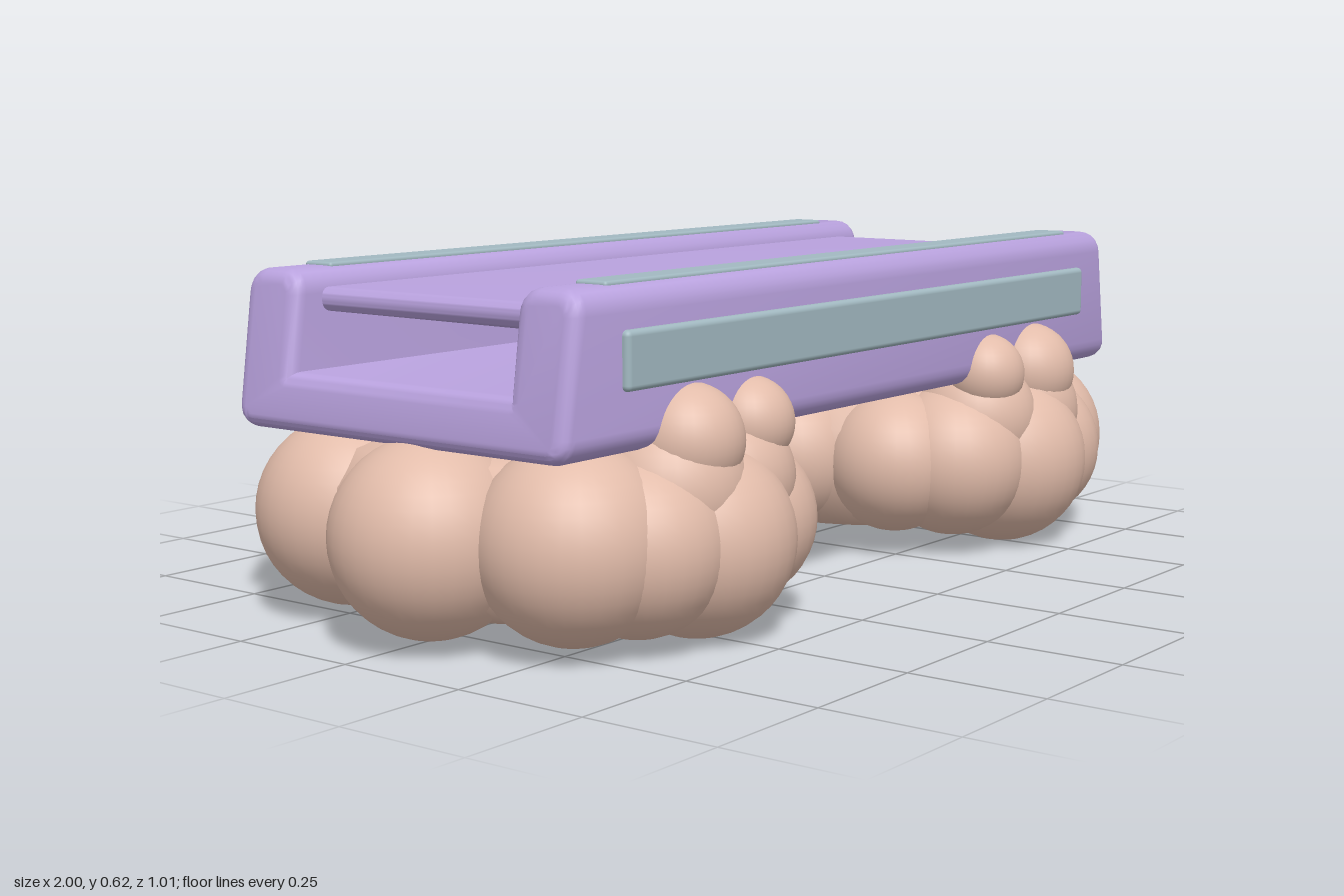
import * as THREE from 'three';
import { RoundedBoxGeometry } from 'three/addons/geometries/RoundedBoxGeometry.js';
import { toCreasedNormals } from 'three/addons/utils/BufferGeometryUtils.js';

// Closed shape whose corners are rounded by r
function roundedShape(points, r) {
  const corners = points.map(([x, y]) => new THREE.Vector2(x, y));
  const toward = (a, b) => b.clone().sub(a).setLength(r).add(a);
  const shape = new THREE.Shape();
  corners.forEach((corner, i) => {
    const before = toward(corner, corners.at(i - 1));
    const after = toward(corner, corners[(i + 1) % corners.length]);
    if (i === 0) shape.moveTo(before.x, before.y);
    else shape.lineTo(before.x, before.y);
    shape.quadraticCurveTo(corner.x, corner.y, after.x, after.y);
  });
  return shape;
}

export function createModel() {
  const purple = new THREE.MeshStandardMaterial({ name: 'purple', color: 0xb9a2de });
  const teal = new THREE.MeshStandardMaterial({ name: 'greyTeal', color: 0xa2b9c1 });
  const tan = new THREE.MeshStandardMaterial({ name: 'tan', color: 0xe2bcaa });

  const model = new THREE.Group();
  model.name = 'cloudCart';

  const add = (name, geometry, material, x = 0, y = 0, z = 0, parent = model) => {
    const mesh = new THREE.Mesh(geometry, material);
    mesh.name = name;
    mesh.position.set(x, y, z);
    parent.add(mesh);
    return mesh;
  };

  // Channel body: floor and two side rails in one U section, bevelled at the ends
  const half = [[0.35, 0.365], [0.35, 0.587], [0.272, 0.587], [0.272, 0.415]];
  const section = half.concat(half.map(([z, y]) => [-z, y]).reverse());
  const body = new THREE.ExtrudeGeometry(roundedShape(section, 0.018), {
    depth: 1.73, bevelThickness: 0.025, bevelSize: 0.025, bevelSegments: 5, curveSegments: 5,
  });
  body.translate(0, 0, -0.865);
  body.rotateY(Math.PI / 2);
  // Ends lean inward towards the top
  const p = body.attributes.position;
  for (let i = 0; i < p.count; i++) {
    const t = Math.max(0, (p.getY(i) - 0.36) / 0.25);
    p.setX(i, p.getX(i) * (1 - 0.04 * t));
  }
  add('channelBody', toCreasedNormals(body, 0.6), purple);

  // Inlaid strips on the top and outer faces of the rails
  for (const s of [1, -1]) {
    add('topStrip', new RoundedBoxGeometry(1.5, 0.03, 0.065, 2, 0.006), teal, 0, 0.603, s * 0.31);
    add('sideStrip', new RoundedBoxGeometry(1.5, 0.098, 0.03, 3, 0.01), teal, 0, 0.494, s * 0.373);
  }

  // Deck: flat on top, bellied underneath
  const deck = new THREE.Shape();
  deck.moveTo(-0.78, 0.58);
  deck.quadraticCurveTo(-0.8, 0.58, -0.8, 0.56);
  deck.quadraticCurveTo(-0.8, 0.54, -0.78, 0.538);
  deck.lineTo(-0.3, 0.465);
  deck.quadraticCurveTo(0, 0.447, 0.3, 0.465);
  deck.lineTo(0.78, 0.538);
  deck.quadraticCurveTo(0.8, 0.54, 0.8, 0.56);
  deck.quadraticCurveTo(0.8, 0.58, 0.78, 0.58);
  const deckGeometry = new THREE.ExtrudeGeometry(deck, { depth: 0.52, bevelEnabled: false, curveSegments: 10 });
  deckGeometry.translate(0, 0, -0.26);
  add('deck', toCreasedNormals(deckGeometry, 0.6), purple);

  // Cloud puffs as [x, y, z, radius]; paired ones repeat across z
  const singles = [[0.828, 0.185, 0.03, 0.172], [0.215, 0.185, 0.02, 0.145]];
  const pairs = [
    [0.73, 0.185, 0.255, 0.17], [0.51, 0.17, 0.337, 0.17],
    [0.64, 0.175, 0.315, 0.155], [0.37, 0.18, 0.305, 0.15],
    [0.29, 0.18, 0.22, 0.14],
    [0.565, 0.345, 0.36, 0.097], [0.395, 0.355, 0.36, 0.08],
    [0.57, 0.26, 0.325, 0.135], [0.42, 0.26, 0.325, 0.125],
  ];
  const puffs = singles.concat(pairs, pairs.map(([x, y, z, r]) => [x, y, -z, r]));

  // Flat-bottomed rounded core that joins the puffs
  const coreProfile = [[0, 0.045], [0.8, 0.045], [0.97, 0.08], [1.04, 0.17], [1, 0.25], [0.88, 0.31], [0.7, 0.33], [0, 0.33]];
  const coreGeometry = new THREE.LatheGeometry(coreProfile.map(([r, y]) => new THREE.Vector2(r, y)), 40);

  for (const s of [1, -1]) {
    const cloud = new THREE.Group();
    cloud.name = s > 0 ? 'leftCloud' : 'rightCloud';
    model.add(cloud);
    for (const [x, y, z, r] of puffs) {
      add('cloudPuff', new THREE.SphereGeometry(r, 32, 22), tan, s * x, y, z, cloud);
    }
    const core = add('cloudCore', coreGeometry, tan, s * 0.52, 0, 0, cloud);
    core.scale.set(0.37, 1, 0.39);

    // Bracket reaching out of the cloud beneath the body
    add('bracketPlate', new RoundedBoxGeometry(0.3, 0.025, 0.16, 2, 0.01), purple, s * 0.22, 0.312, 0);
    add('bracketBar', new RoundedBoxGeometry(0.035, 0.07, 0.22, 3, 0.014), purple, s * 0.08, 0.305, 0);
    add('bracketTrim', new RoundedBoxGeometry(0.022, 0.015, 0.18, 2, 0.006), teal, s * 0.08, 0.27, 0);
  }
  return model;
}
